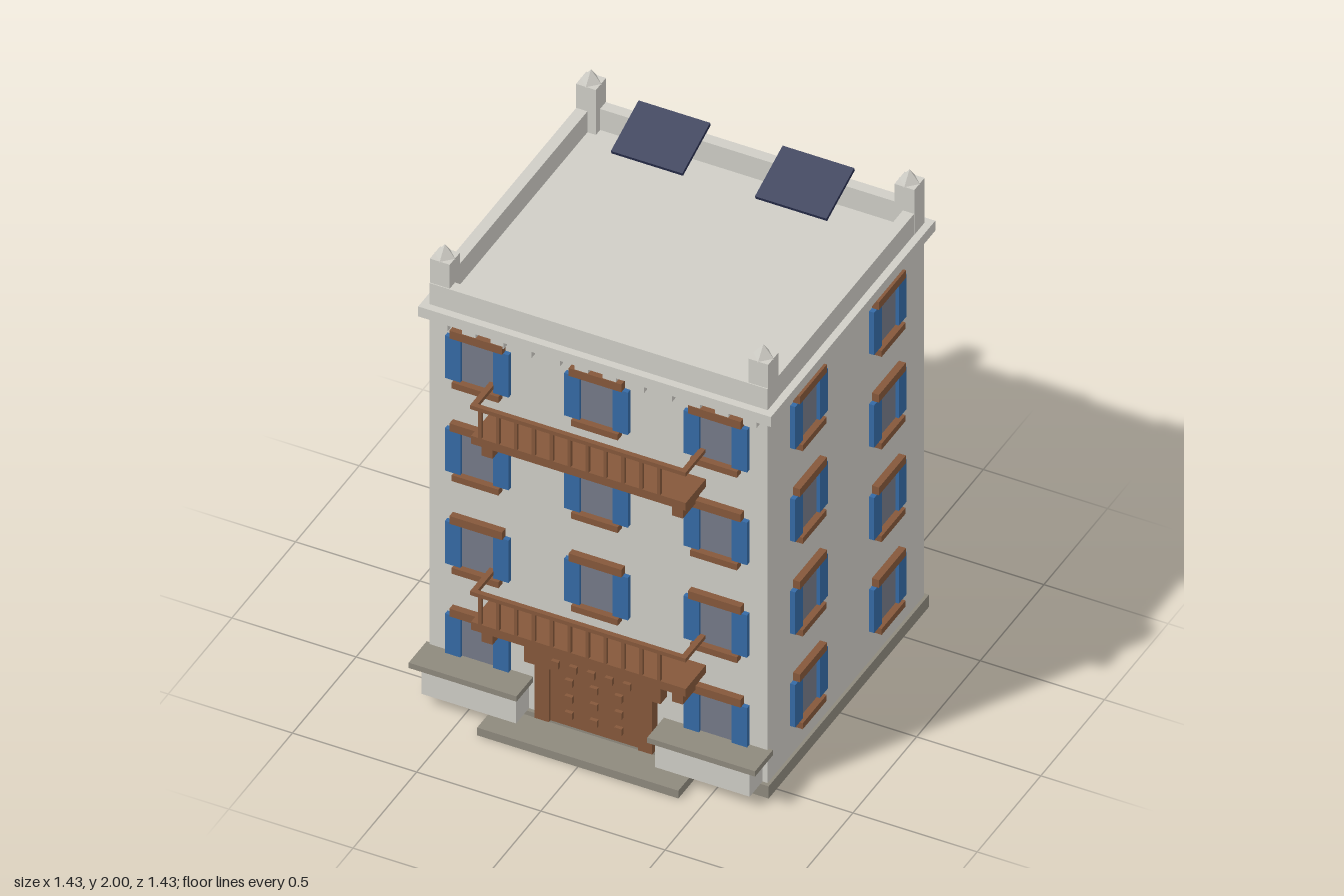
import * as THREE from 'three';

const mat = (name, color) => {
  const m = new THREE.MeshStandardMaterial({ color });
  m.name = name;
  return m;
};

export function createModel() {
  const wall = mat('paleStone', 0xcfcdc6);
  const stone = mat('greyStone', 0x8e897d);
  const wood = mat('brownWood', 0x85583b);
  const blue = mat('blueShutter', 0x356aa5);
  const glass = mat('windowGlass', 0x757a88);
  const navy = mat('solarNavy', 0x2b3252);

  const root = new THREE.Group();
  root.name = 'townHouse';

  // box given by its min and max on each axis
  const box = (parent, name, m, x0, x1, y0, y1, z0, z1) => {
    const mesh = new THREE.Mesh(new THREE.BoxGeometry(x1 - x0, y1 - y0, z1 - z0), m);
    mesh.position.set((x0 + x1) / 2, (y0 + y1) / 2, (z0 + z1) / 2);
    mesh.name = name;
    parent.add(mesh);
    return mesh;
  };

  const W = 0.68, F = 0.547, B = -0.683; // wall faces

  // main volume
  box(root, 'plinth', stone, -0.693, 0.693, 0, 0.055, -0.697, 0.563);
  box(root, 'frontStep', stone, -0.405, 0.405, 0, 0.035, 0.5, 0.71);
  box(root, 'walls', wall, -W, W, 0.055, 1.72, B, F);
  box(root, 'cornice', wall, -0.71, 0.71, 1.7, 1.745, -0.713, 0.578);
  for (let i = 0; i < 12; i++) {
    const x = -0.622 + i * 0.113;
    box(root, 'dentil', wall, x - 0.027, x + 0.027, 1.668, 1.7, F - 0.01, 0.572);
  }

  // parapet around the roof
  const parapet = new THREE.Group();
  parapet.name = 'parapet';
  root.add(parapet);
  const t = 0.045;
  box(parapet, 'parapetFront', wall, -W, W, 1.745, 1.84, F - t, F);
  box(parapet, 'parapetBack', wall, -W, W, 1.745, 1.84, B, B + t);
  for (const s of [-1, 1]) {
    const x = s * (W - t / 2);
    box(parapet, 'parapetSide', wall, x - t / 2, x + t / 2, 1.745, 1.84, B + t, F - t);
  }

  // corner pinnacles
  for (const x of [-0.641, 0.641]) for (const z of [-0.645, 0.503]) {
    box(root, 'pinnaclePost', wall, x - 0.04, x + 0.04, 1.745, 1.948, z - 0.04, z + 0.04);
    const cap = new THREE.Mesh(new THREE.ConeGeometry(0.043, 0.054, 4).toNonIndexed(), wall);
    cap.geometry.computeVertexNormals();
    cap.position.set(x, 1.973, z);
    cap.name = 'pinnacleCap';
    root.add(cap);
  }

  // solar panels
  for (const x of [-0.29, 0.29]) {
    const p = box(root, 'solarPanel', navy, x - 0.144, x + 0.144, 1.9, 1.915, -0.624, -0.392);
    p.rotation.x = 0.35;
  }

  // shuttered window, centred on its wall point and facing +z
  const addWindow = (x, y, z, turn) => {
    const g = new THREE.Group();
    g.name = 'window';
    box(g, 'glass', glass, -0.068, 0.068, -0.096, 0.096, -0.002, 0.007);
    for (const s of [-1, 1]) {
      box(g, 'shutter', blue, s * 0.097 - 0.031, s * 0.097 + 0.031, -0.096, 0.096, -0.005, 0.02);
    }
    box(g, 'lintel', wood, -0.106, 0.106, 0.096, 0.131, -0.005, 0.028);
    box(g, 'sill', wood, -0.094, 0.094, -0.123, -0.096, -0.005, 0.033);
    g.position.set(x, y, z);
    g.rotation.y = turn;
    root.add(g);
  };
  for (let floor = 0; floor < 4; floor++) {
    const y = 0.286 + floor * 0.42;
    for (const x of [-0.48, 0, 0.48]) {
      if (floor > 0 || x !== 0) addWindow(x, y, F, 0);
    }
    for (const x of [-0.362, 0.362]) addWindow(x, y, B, Math.PI);
    for (const z of [-0.38, 0.24]) {
      addWindow(W, y, z, Math.PI / 2);
      addWindow(-W, y, z, -Math.PI / 2);
    }
  }

  // balconies
  for (const y of [0.466, 1.309]) {
    const g = new THREE.Group();
    g.name = 'balcony';
    root.add(g);
    box(g, 'balconySlab', wood, -0.432, 0.432, y, y + 0.036, F - 0.01, 0.705);
    box(g, 'frontRail', wood, -0.434, 0.434, y + 0.16, y + 0.177, 0.69, 0.71);
    for (const s of [-1, 1]) {
      box(g, 'sideRail', wood, s * 0.423 - 0.011, s * 0.423 + 0.011, y + 0.16, y + 0.177, F - 0.01, 0.69);
      box(g, 'bracket', wood, s * 0.383 - 0.022, s * 0.383 + 0.022, y - 0.065, y, F - 0.01, 0.675);
    }
    for (let i = 0; i < 11; i++) {
      const x = -0.397 + i * 0.072;
      box(g, 'baluster', wood, x - 0.0065, x + 0.0065, y + 0.036, y + 0.16, 0.693, 0.706);
    }
  }

  // entrance: panel, posts, header and square studs
  const door = new THREE.Group();
  door.name = 'entrance';
  root.add(door);
  box(door, 'doorPanel', wood, -0.18, 0.18, 0.055, 0.305, F - 0.01, 0.575);
  for (const s of [-1, 1]) {
    box(door, 'doorPost', wood, s * 0.208 - 0.029, s * 0.208 + 0.029, 0.055, 0.305, F - 0.01, 0.588);
  }
  box(door, 'doorHeader', wood, -0.275, 0.275, 0.303, 0.381, F - 0.01, 0.597);
  const stud = (x, y, z) =>
    box(door, 'stud', wood, x - 0.015, x + 0.015, y - 0.015, y + 0.015, z - 0.005, z + 0.015);
  for (let i = -2; i <= 2; i++) stud(i * 0.072, 0.343, 0.597);
  for (const x of [-0.1, 0, 0.1]) for (const y of [0.112, 0.185, 0.258]) stud(x, y, 0.575);

  // low terrace walls beside the entrance
  for (const s of [-1, 1]) {
    box(root, 'terraceWall', wall, s * 0.47 - 0.19, s * 0.47 + 0.19, 0.055, 0.18, F - 0.01, 0.648);
    box(root, 'terraceCap', stone, s * 0.48 - 0.217, s * 0.48 + 0.217, 0.18, 0.204, F - 0.01, 0.678);
  }
  return root;
}
